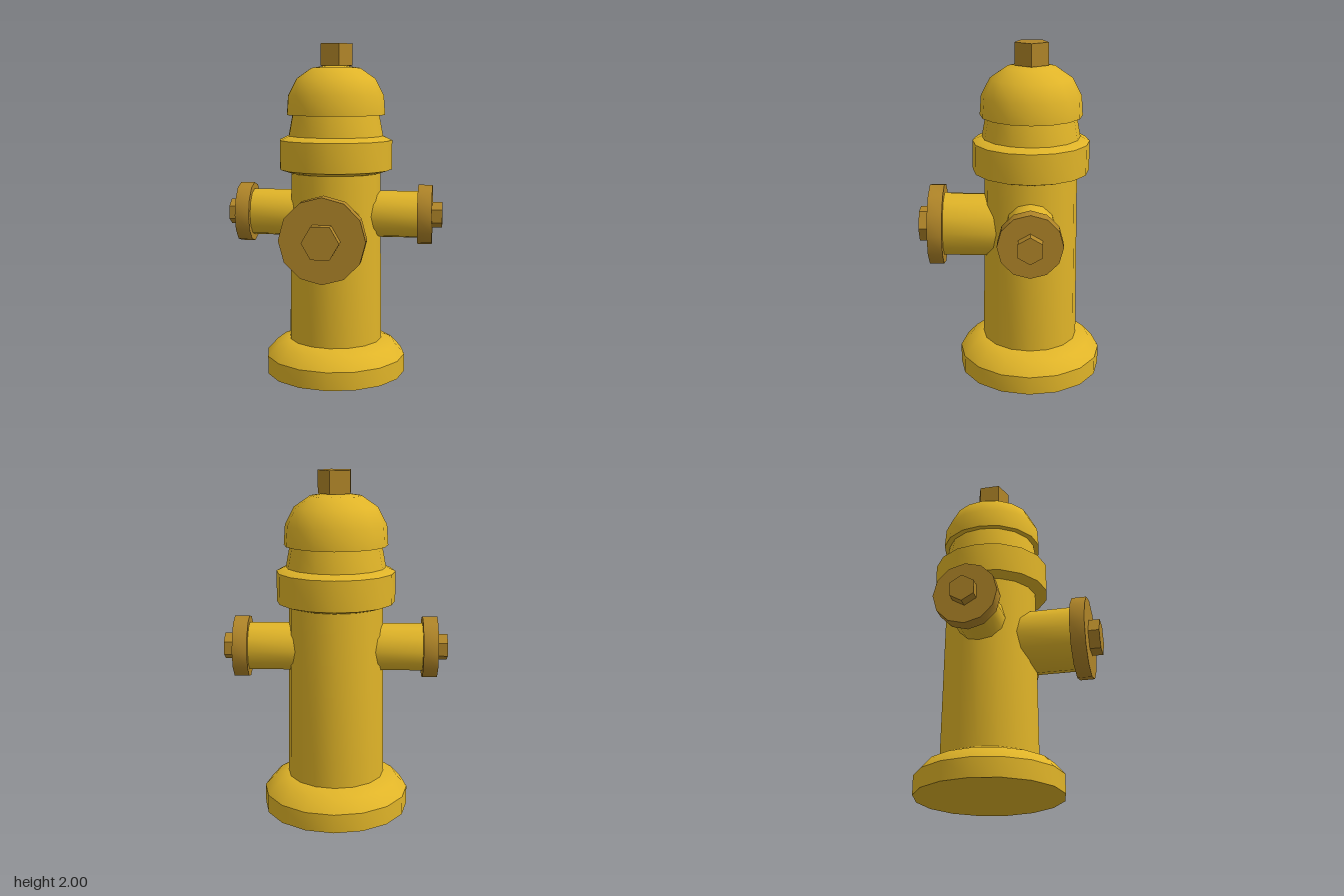
import * as THREE from 'three';
import { toCreasedNormals } from 'three/addons/utils/BufferGeometryUtils.js';

const AXIS_Z = -0.117; // the barrel sits behind the centre because of the front outlet
const CREASE = 0.6;

export function createModel() {
  const yellow = new THREE.MeshStandardMaterial({ color: 0xe0b428 });
  yellow.name = 'yellow paint';
  const bronze = new THREE.MeshStandardMaterial({ color: 0xb08528 });
  bronze.name = 'bronze caps';

  const model = new THREE.Group();
  model.name = 'fireHydrant';

  const addMesh = (parent, name, geometry, material) => {
    const mesh = new THREE.Mesh(toCreasedNormals(geometry, CREASE), material);
    mesh.name = name;
    parent.add(mesh);
    return mesh;
  };

  // Turned part from a bottom-to-top profile of [radius, height]
  const turned = (parent, name, profile) => {
    const points = profile.map(([r, y]) => new THREE.Vector2(r, y));
    return addMesh(parent, name, new THREE.LatheGeometry(points, 16), yellow);
  };

  // Straight prism along y between two heights
  const prism = (parent, name, radius, from, to, sides, material) => {
    const geometry = new THREE.CylinderGeometry(radius, radius, to - from, sides, 1, false, Math.PI / 2);
    geometry.translate(0, (from + to) / 2, 0);
    return addMesh(parent, name, geometry, material);
  };

  // Barrel
  const barrel = new THREE.Group();
  barrel.name = 'barrel';
  barrel.position.z = AXIS_Z;
  model.add(barrel);
  turned(barrel, 'base', [[0, 0], [0.428, 0], [0.428, 0.11], [0.365, 0.18], [0.285, 0.21], [0, 0.21]]);
  turned(barrel, 'body', [[0.285, 0.2], [0.272, 1.25]]);
  turned(barrel, 'collar', [[0.26, 1.235], [0.28, 1.235], [0.342, 1.255], [0.342, 1.43], [0.288, 1.455], [0.2, 1.455]]);
  turned(barrel, 'neck', [[0.288, 1.45], [0.262, 1.59]]);
  turned(barrel, 'dome', [
    [0.25, 1.58], [0.298, 1.58], [0.29, 1.695], [0.238, 1.795], [0.148, 1.857], [0, 1.88],
  ]);
  prism(barrel, 'topNut', 0.102, 1.87, 2, 5, bronze);

  // Outlet: pipe, cap and hexagonal nut, built along its own y axis
  const outlet = (name, pipeR, capR, nutR, start, pipeEnd, capEnd, nutEnd) => {
    const group = new THREE.Group();
    group.name = name;
    prism(group, 'pipe', pipeR, start, pipeEnd, 12, yellow);
    prism(group, 'cap', capR, pipeEnd, capEnd, 12, bronze);
    prism(group, 'nut', nutR, capEnd, nutEnd, 6, bronze);
    model.add(group);
    return group;
  };

  const front = outlet('frontOutlet', 0.19, 0.243, 0.105, 0, 0.395, 0.481, 0.545);
  front.position.y = 0.912;
  front.rotation.x = Math.PI / 2;

  for (const side of [1, -1]) {
    const arm = outlet(side > 0 ? 'leftOutlet' : 'rightOutlet', 0.142, 0.181, 0.077, 0.1, 0.502, 0.587, 0.648);
    arm.position.set(0, 0.983, AXIS_Z);
    arm.rotation.z = -side * Math.PI / 2;
  }

  return model;
}
